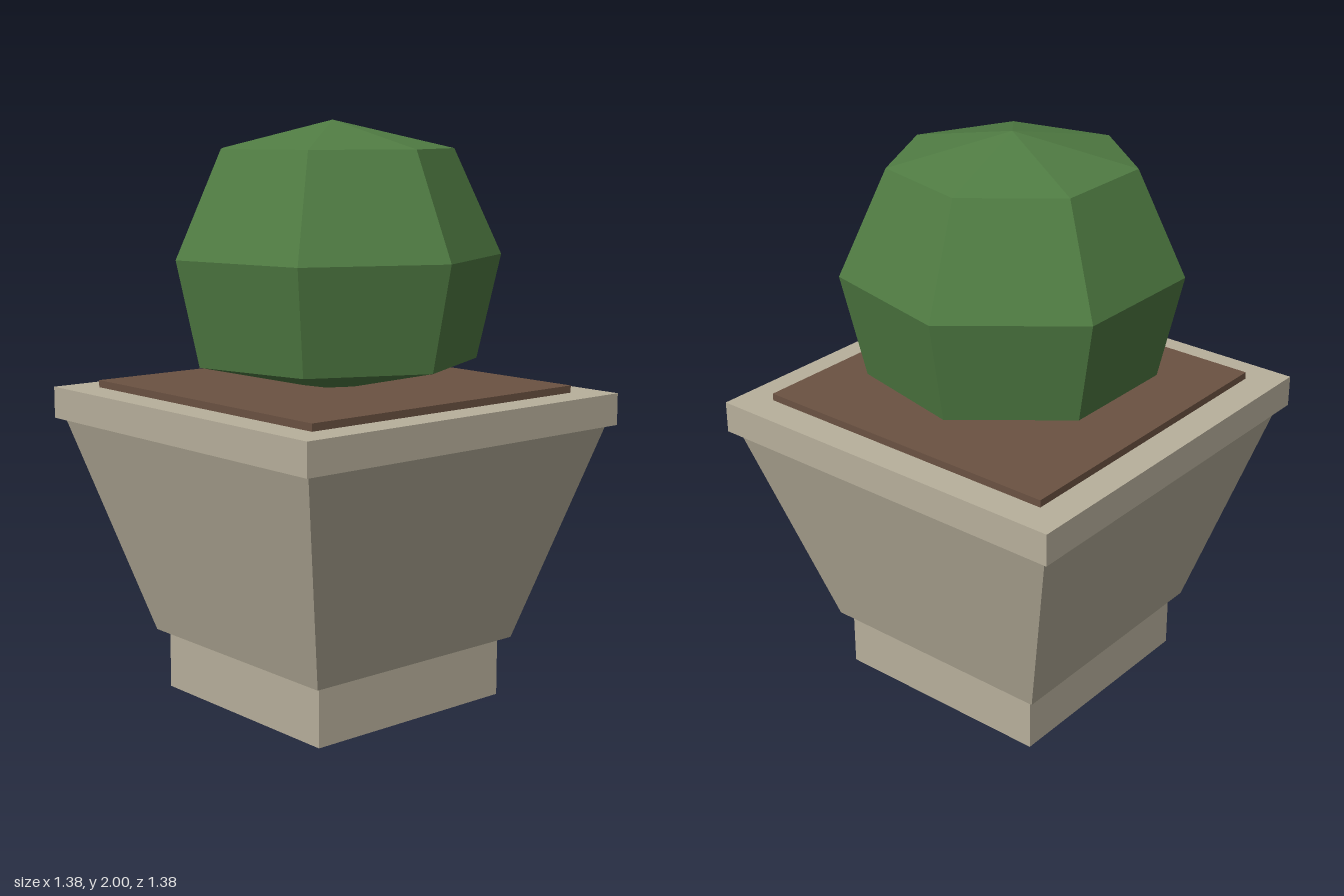
import * as THREE from 'three';

const material = (name, color) => {
  const m = new THREE.MeshStandardMaterial({ color });
  m.name = name;
  return m;
};

// Separate the faces so every facet is shaded flat
const faceted = (geometry) => {
  const g = geometry.toNonIndexed();
  g.computeVertexNormals();
  return g;
};

export function createModel() {
  const group = new THREE.Group();
  group.name = 'pottedShrub';
  const stone = material('stone', 0xb8b09c);
  const soil = material('soil', 0x6b5242);
  const leaf = material('leafGreen', 0x507c43);

  const add = (name, geometry, mat) => {
    const mesh = new THREE.Mesh(geometry, mat);
    mesh.name = name;
    group.add(mesh);
  };

  // Square block, given half widths at the bottom and top
  const block = (name, y0, y1, half0, half1, mat) => {
    const g = new THREE.CylinderGeometry(half1 * Math.SQRT2, half0 * Math.SQRT2, y1 - y0, 4);
    g.rotateY(Math.PI / 4);
    g.translate(0, (y0 + y1) / 2, 0);
    add(name, faceted(g), mat);
  };

  // Planter, from the ground up
  block('planterFoot', 0, 0.21, 0.41, 0.41, stone);
  block('planterBody', 0.21, 0.97, 0.443, 0.663, stone);
  block('planterRim', 0.97, 1.08, 0.69, 0.69, stone);
  block('soilBed', 1.08, 1.105, 0.577, 0.577, soil);

  // Seven-sided clipped bush with one corner pointing along +x
  const profile = [[0, 1.08], [0.497, 1.19], [0.577, 1.548], [0.412, 1.905], [0, 2]]
    .map(([r, y]) => new THREE.Vector2(r, y));
  add('bush', faceted(new THREE.LatheGeometry(profile, 7, Math.PI / 2)), leaf);

  return group;
}
